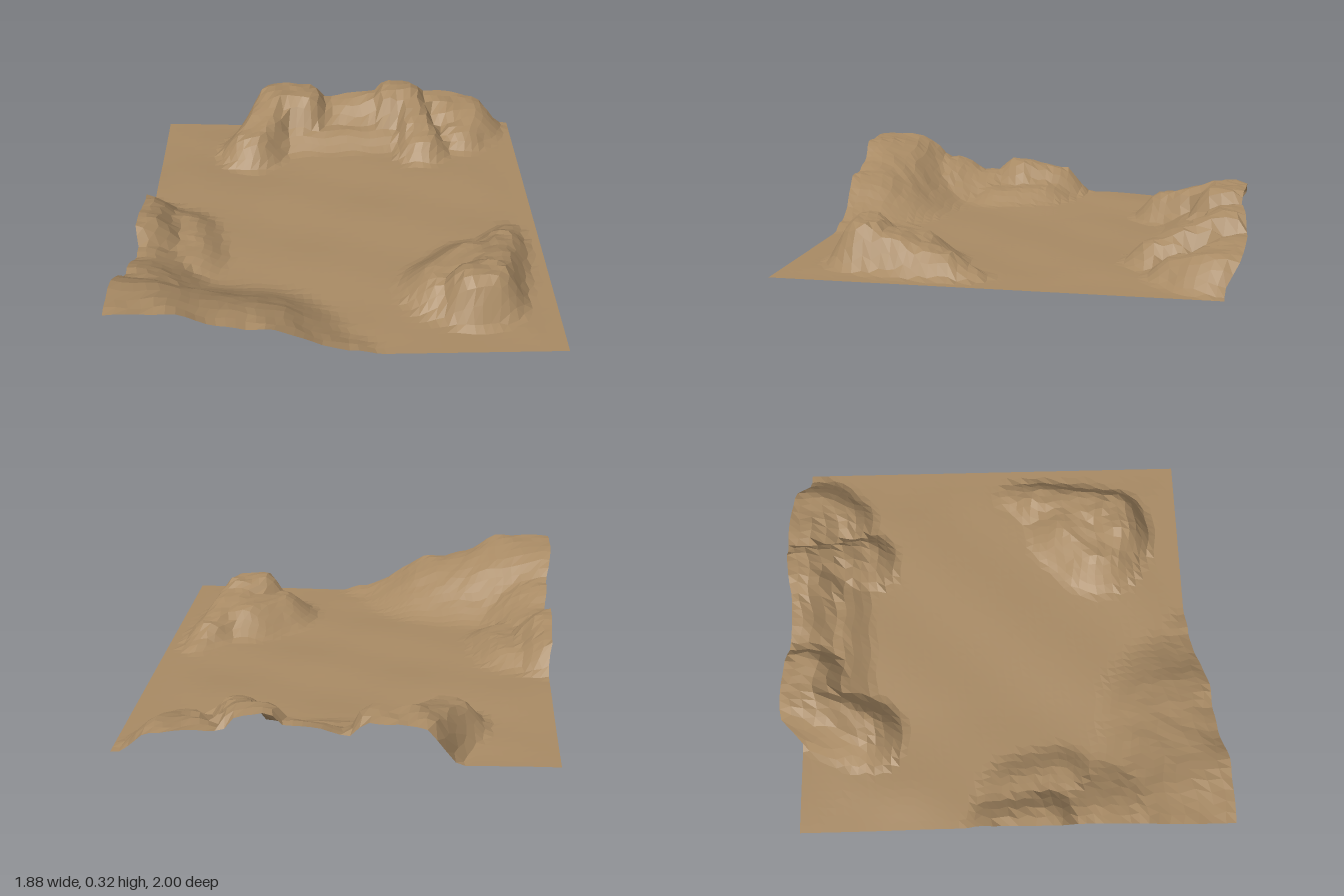
import * as THREE from 'three';

const { lerp, clamp, smoothstep } = THREE.MathUtils;

// Each hill follows a crest line of points: x, z, height, foot radius
const HILLS = {
  broadLobe: [[-0.15, -0.86, 0.228, 0.19], [-0.32, -0.86, 0.232, 0.18], [-0.43, -0.62, 0.14, 0.19]],
  saddle: [[-0.1, -0.95, 0.14, 0.26], [0.2, -0.95, 0.195, 0.27]],
  saddleFoot: [[-0.22, -0.8, 0.08, 0.22], [0.3, -0.8, 0.08, 0.2]],
  backPeak: [[0.31, -0.88, 0.245, 0.19], [0.39, -0.87, 0.24, 0.14], [0.45, -0.64, 0.12, 0.17]],
  shoulder: [[0.54, -0.92, 0.17, 0.2], [0.7, -0.86, 0.14, 0.22], [0.66, -0.75, 0.1, 0.17]],
  frontHill: [[0.56, 0.6, 0.2, 0.19], [0.64, 0.58, 0.195, 0.19], [0.75, 0.22, 0.09, 0.14], [0.79, 0.1, 0.03, 0.09]],
  frontFlank: [[0.48, 0.5, 0.13, 0.25], [0.6, 0.42, 0.14, 0.28]],
  sideMound: [[-0.9, 0.02, 0.17, 0.2], [-0.9, 0.19, 0.205, 0.25]],
  moundShelf: [[-0.75, 0.1, 0.085, 0.22], [-0.69, 0.27, 0.07, 0.2]],
  cornerBank: [[0.02, 0.92, 0.03, 0.14], [-0.4, 0.92, 0.205, 0.48], [-0.76, 0.92, 0.315, 0.52],
    [-0.9, 0.87, 0.32, 0.5], [-0.9, 0.62, 0.2, 0.4], [-0.9, 0.42, 0.14, 0.32]],
};

// Rounded ridge between two crest points
function ridgeHeight([ax, az, ah, ar], [bx, bz, bh, br], x, z) {
  const dx = bx - ax, dz = bz - az;
  const t = clamp(((x - ax) * dx + (z - az) * dz) / (dx * dx + dz * dz), 0, 1);
  const d = Math.hypot(x - ax - dx * t, z - az - dz * t);
  const foot = lerp(ar, br, t);
  return lerp(ah, bh, t) * (1 - smoothstep(d, Math.min(0.07, foot * 0.26), foot));
}

const rough = (x, z) =>
  Math.sin(x * 23 + Math.sin(z * 17) * 2) * Math.sin(z * 27 + Math.sin(x * 13) * 2);

// Gentle plain, rising a little towards one side
function floorHeight(x, z) {
  const inner = smoothstep(0.9 - Math.max(Math.abs(x), Math.abs(z)), 0, 0.25);
  const side = smoothstep(-x, 0.3, 0.9);
  const dunes = Math.sin(x * 9 + z * 8) + Math.sin(x * 5 - z * 13);
  return 0.006 + side * (0.015 + 0.018 * Math.exp(-(((z + 0.25) / 0.25) ** 2)))
    + 0.003 * inner * (2 + dunes);
}

function groundHeight(x, z) {
  let hill = 0;
  for (const crest of Object.values(HILLS)) {
    for (let i = 1; i < crest.length; i++) {
      hill = Math.max(hill, ridgeHeight(crest[i - 1], crest[i], x, z));
    }
  }
  const bumps = 0.007 * smoothstep(hill, 0.03, 0.12) * rough(x, z);
  return hill + bumps + floorHeight(x, z) * (1 - smoothstep(hill, 0, 0.15));
}

export function createModel() {
  const group = new THREE.Group();
  const x0 = -0.885, x1 = 0.935, z0 = -0.92, z1 = 0.905, seg = 48;

  const geometry = new THREE.PlaneGeometry(x1 - x0, z1 - z0, seg, seg);
  geometry.rotateX(-Math.PI / 2).translate((x0 + x1) / 2, 0, (z0 + z1) / 2);
  const pos = geometry.attributes.position;
  const near = (d) => 1 - smoothstep(d, 0, 0.22);
  for (let i = 0; i < pos.count; i++) {
    let x = pos.getX(i), z = pos.getZ(i);
    // shift inner points a little so the facets look irregular
    const edge = Math.min(x - x0, x1 - x, z - z0, z1 - z);
    if (edge > 0.01) {
      x += 0.008 * Math.sin(i * 12.9);
      z += 0.008 * Math.sin(i * 7.3 + 1);
    }
    const y = groundHeight(x, z);
    // raised borders lean outwards
    const backLean = Math.min(0.062 + 0.018 * Math.cos((x - 0.53) * 7.3),
      0.6 * Math.max(0, y - 0.03));
    const px = x - 0.26 * Math.max(0, y - 0.1) * near(x - x0);
    const pz = z + 0.3 * y * near(z1 - z) - backLean * near(z - z0);
    pos.setXYZ(i, px, y, pz);
  }
  geometry.computeBoundingBox();
  geometry.translate(0, -geometry.boundingBox.min.y, 0);
  geometry.computeVertexNormals();

  const terrain = new THREE.Mesh(geometry, new THREE.MeshStandardMaterial({
    color: 0xa88a64, flatShading: true, side: THREE.DoubleSide,
  }));
  terrain.name = 'terrain';
  group.add(terrain);
  return group;
}
